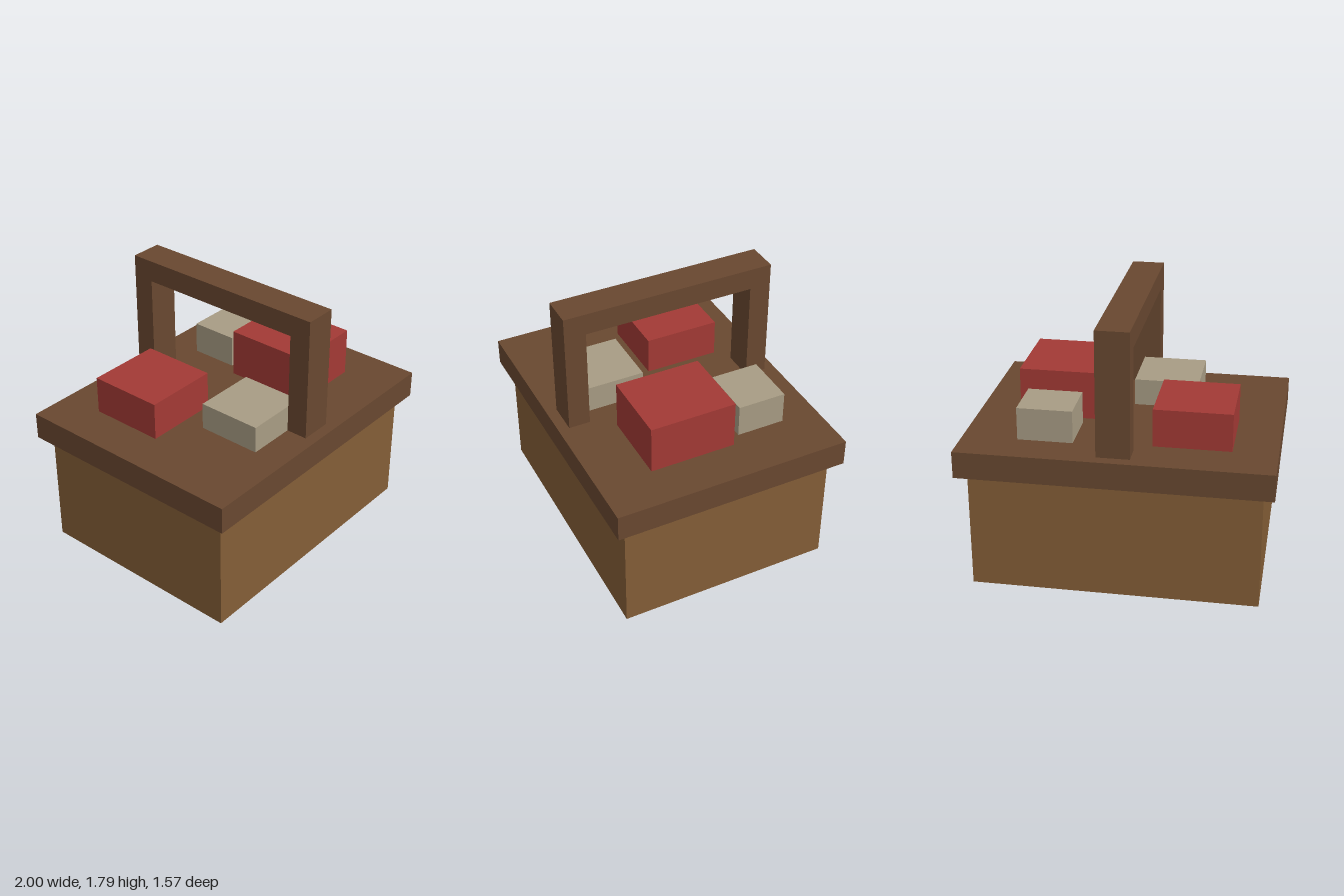
import * as THREE from 'three';

const material = (color) => new THREE.MeshStandardMaterial({ color });
const wicker = material(0x845e37);
const darkWood = material(0x694830);
const red = material(0xa33a35);
const beige = material(0xa89c84);

// Box given by its extents along each axis
function addBox(parent, name, mat, [x0, x1], [y0, y1], [z0, z1]) {
  const mesh = new THREE.Mesh(new THREE.BoxGeometry(x1 - x0, y1 - y0, z1 - z0), mat);
  mesh.position.set((x0 + x1) / 2, (y0 + y1) / 2, (z0 + z1) / 2);
  mesh.name = name;
  parent.add(mesh);
}

export function createModel() {
  const basket = new THREE.Group();
  basket.name = 'picnicBasket';
  const lidTop = 0.964;

  addBox(basket, 'basketBody', wicker, [-0.929, 0.929], [0, 0.786], [-0.714, 0.714]);
  addBox(basket, 'lid', darkWood, [-1, 1], [0.786, lidTop], [-0.786, 0.786]);

  // Square arch handle running front to back
  const arch = new THREE.Shape([
    [-0.714, lidTop], [-0.571, lidTop], [-0.571, 1.643], [0.571, 1.643],
    [0.571, lidTop], [0.714, lidTop], [0.714, 1.786], [-0.714, 1.786],
  ].map(([z, y]) => new THREE.Vector2(z, y)));
  const handleGeometry = new THREE.ExtrudeGeometry(arch, { depth: 0.214, bevelEnabled: false });
  handleGeometry.translate(0, 0, -0.107).rotateY(Math.PI / 2);
  const handle = new THREE.Mesh(handleGeometry, darkWood);
  handle.name = 'handle';
  basket.add(handle);

  // Packages resting on the lid
  const packages = new THREE.Group();
  packages.name = 'packages';
  addBox(packages, 'redPackageLeft', red, [0.214, 0.714], [lidTop, 1.286], [-0.143, 0.429]);
  addBox(packages, 'redPackageRight', red, [-0.714, -0.214], [lidTop, 1.214], [-0.5, 0]);
  addBox(packages, 'beigePackageLeft', beige, [0.286, 0.643], [lidTop, 1.179], [-0.536, -0.214]);
  addBox(packages, 'beigePackageRight', beige, [-0.429, 0], [lidTop, 1.143], [0.143, 0.571]);
  basket.add(packages);

  return basket;
}
